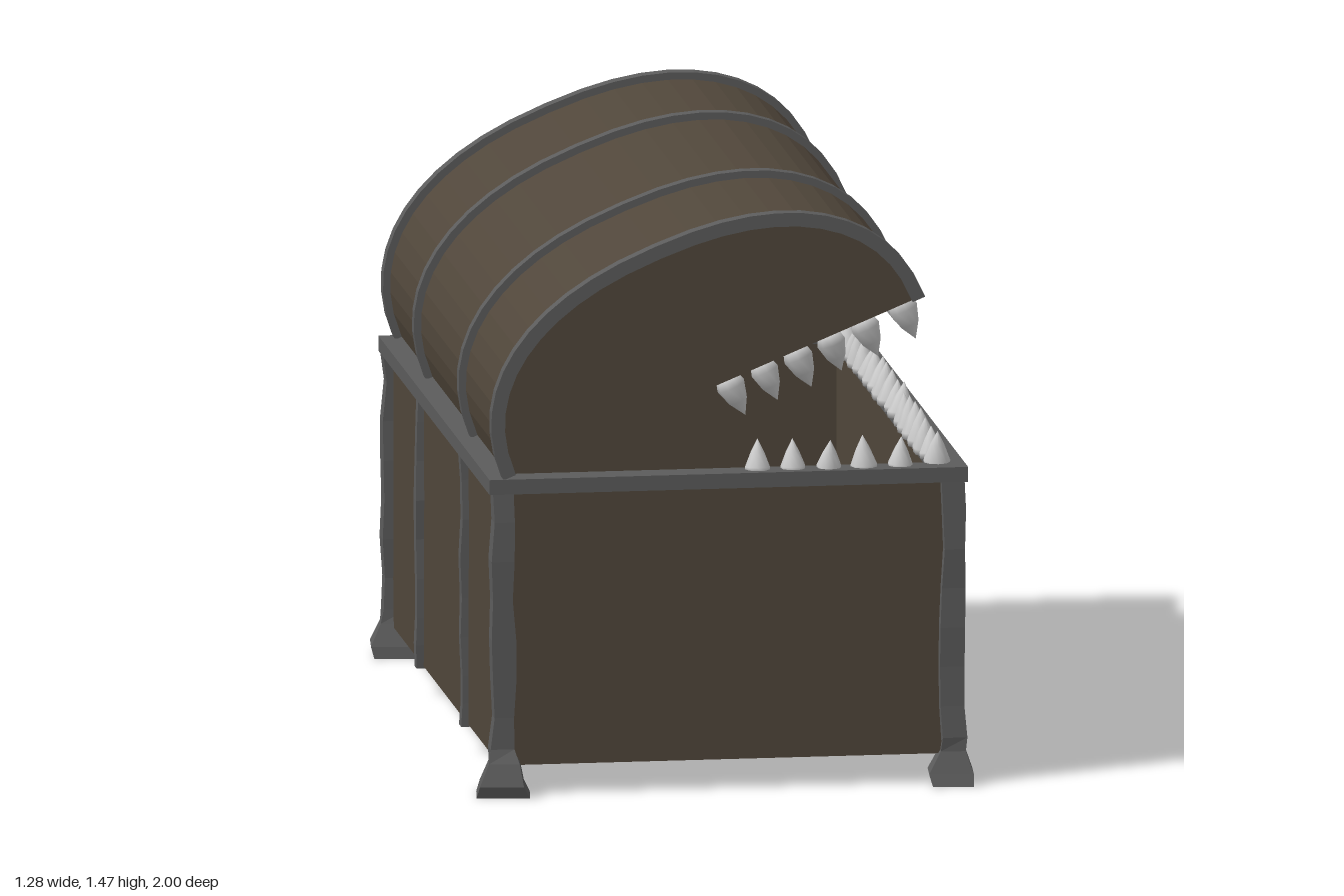
import * as THREE from 'three';

const wood = new THREE.MeshStandardMaterial({ color: 0x51473b, flatShading: true, side: THREE.DoubleSide });
const iron = new THREE.MeshStandardMaterial({ color: 0x5c5c5c, flatShading: true });
const bone = new THREE.MeshStandardMaterial({ color: 0xcccccc });

let seed = 7;
const rand = () => (seed = (seed * 16807) % 2147483647) / 2147483647;
const jitter = (a) => (rand() - 0.5) * 2 * a;

function add(parent, name, geometry, material, x = 0, y = 0, z = 0) {
  const mesh = new THREE.Mesh(geometry, material);
  mesh.name = name;
  mesh.position.set(x, y, z);
  parent.add(mesh);
  return mesh;
}

const box = (parent, name, material, w, h, d, x, y, z) =>
  add(parent, name, new THREE.BoxGeometry(w, h, d), material, x, y, z);

// Hammered iron post: rows of [height, scale], each slightly uneven; low rows turn with the foot
function postGeometry(w, d, rows, twist = 0) {
  const n = rows.length - 1;
  const g = new THREE.BoxGeometry(w, 1, d, 1, n, 1);
  const wobble = rows.map(() => [1 + jitter(0.14), 1 + jitter(0.14), jitter(0.004), jitter(0.004)]);
  const p = g.attributes.position;
  for (let i = 0; i < p.count; i++) {
    const r = Math.round((p.getY(i) + 0.5) * n);
    const [y, s] = rows[r];
    const [sx, sz, ox, oz] = wobble[r];
    const a = s > 1.2 ? twist : 0;
    const x = p.getX(i) * s * sx, z = p.getZ(i) * s * sz;
    p.setXYZ(i, x * Math.cos(a) - z * Math.sin(a) + ox, y, x * Math.sin(a) + z * Math.cos(a) + oz);
  }
  g.computeVertexNormals();
  return g;
}

// Lid arch in its own frame: hinge at u = 0, front edge at u = 1.135
function arch(inset, steps = 24) {
  const a = 0.577 - inset, b = 0.395 - inset, e = 2 / 2.3;
  return Array.from({ length: steps + 1 }, (_, i) => {
    const t = (i / steps) * Math.PI;
    const c = Math.cos(t), s = Math.max(0, Math.sin(t));
    return new THREE.Vector2(0.567 - a * Math.sign(c) * Math.abs(c) ** e, b * s ** e);
  });
}

function slab(points, depth) {
  const g = new THREE.ExtrudeGeometry(new THREE.Shape(points), { depth, bevelEnabled: false });
  return g.translate(0, 0, -depth / 2);
}

const archBand = (outer, inner, depth) => slab([...arch(outer), ...arch(inner).reverse()], depth);

export function createModel() {
  const model = new THREE.Group();
  model.name = 'toothedChest';

  // Open wooden box
  const body = new THREE.Group();
  body.name = 'body';
  model.add(body);
  box(body, 'floor', wood, 1.15, 0.02, 1.86, 0, 0.085, 0);
  for (const s of [-1, 1]) {
    box(body, 'sideWall', wood, 0.03, 0.7, 1.86, s * 0.56, 0.425, 0);
    box(body, 'endWall', wood, 1.15, 0.7, 0.03, 0, 0.425, s * 0.915);
  }

  // Iron rim around the opening
  for (const s of [-1, 1]) {
    box(body, 'rimSide', iron, 0.075, 0.038, 1.92, s * 0.568, 0.79, 0);
    box(body, 'rimEnd', iron, 1.07, 0.038, 0.075, 0, 0.79, s * 0.9225);
  }

  // Corner posts with flared feet
  const shaft = [0.2, 0.3, 0.4, 0.5, 0.6, 0.7, 0.775].map((y) => [y, 1]);
  for (const [sx, sz, twist] of [[-1, -1, 0.12], [1, -1, -0.15], [-1, 1, 0.14], [1, 1, 0.1]]) {
    const rows = [[0, 2.1], [0.03, 2], [0.085, 1.25], [0.12, 1], ...shaft];
    add(body, 'cornerPost', postGeometry(0.056, 0.052, rows, twist), iron, sx * 0.568, 0, sz * 0.932);
  }

  // Straps on the long sides
  for (const sx of [-1, 1]) {
    for (const z of [0.373, -0.397]) {
      const rows = [[0.07, 1], [0.13, 1], ...shaft];
      add(body, 'sideStrap', postGeometry(0.04, 0.036, rows), iron, sx * 0.572, 0, z);
    }
  }

  // Arched lid, tilted open at the hinge
  const lid = new THREE.Group();
  lid.name = 'lid';
  lid.position.set(-0.56, 0.81, 0);
  lid.rotation.z = 0.39;
  model.add(lid);
  add(lid, 'lidShell', archBand(0.018, 0.045, 1.86), wood);
  box(lid, 'lidFrontLip', wood, 0.08, 0.02, 1.82, 1.075, 0.011, 0);
  for (const s of [-1, 1]) {
    add(lid, 'lidEnd', slab(arch(0.022), 0.03), wood, 0, 0, s * 0.917);
    add(lid, 'lidEndBand', archBand(0, 0.034, 0.038), iron, 0, 0, s * 0.934);
  }
  for (const z of [0.373, -0.4]) add(lid, 'lidBand', archBand(0, 0.03, 0.034), iron, 0, 0, z);

  // Teeth: a pointed profile, slightly bulged above the root
  const tooth = (pts) => new THREE.LatheGeometry(pts.map(([r, y]) => new THREE.Vector2(r, y)), 9);
  const lowerTooth = tooth([[0, 0], [0.032, 0], [0.034, 0.015], [0.018, 0.055], [0, 0.09]]);
  const upperTooth = tooth([[0, 0], [0.028, 0], [0.036, 0.025], [0.024, 0.065], [0, 0.105]]);
  const plant = (parent, name, geo, x, y, z, flip) => {
    const m = add(parent, name, geo, bone, x, y, z);
    m.rotation.set((flip ? Math.PI : 0) + jitter(0.1), rand() * 6, jitter(0.12));
    m.scale.setScalar(1 + jitter(0.08));
  };
  for (let i = 0; i < 21; i++) {
    const z = -0.88 + i * 0.088;
    plant(model, 'lowerFrontTooth', lowerTooth, 0.537, 0.8, z, false);
    plant(lid, 'upperFrontTooth', upperTooth, 1.085, 0.003, z, true);
  }
  for (const s of [-1, 1]) {
    for (let i = 0; i < 5; i++) {
      plant(model, 'lowerSideTooth', lowerTooth, 0.08 + i * 0.09, 0.8, s * 0.91, false);
      plant(lid, 'upperSideTooth', upperTooth, 0.61 + i * 0.092, 0.003, s * 0.9, true);
    }
  }
  return model;
}
